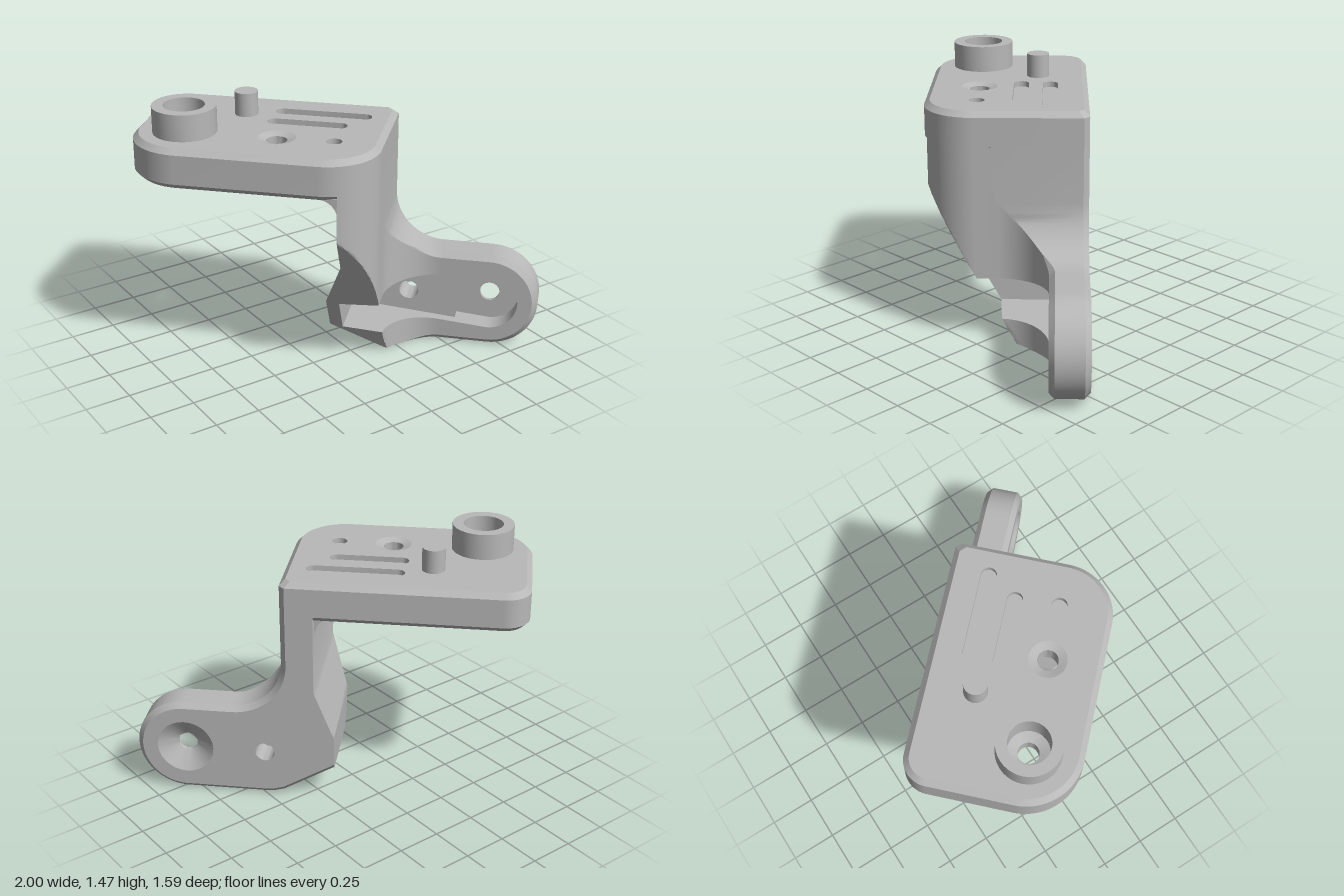
import * as THREE from 'three';
import { toCreasedNormals } from 'three/addons/utils/BufferGeometryUtils.js';

const metal = new THREE.MeshStandardMaterial({ color: 0xb8b8b8, side: THREE.DoubleSide });
metal.name = 'plain grey';

const E = 1e-4, CH = 0.03;                 // step width, chamfer
const BACK = -0.255, ARM = -0.045;         // back and front of the arm
const WALL = 0.36, SIDE = 0.63, CR = 0.28; // upright front, plate side, corner and cove radius
const CEIL = 1.2;                          // hollow under the plate
const CY = 0.275, R = 0.275, CU = 0.915;   // rounded arm end
const PR = 0.165, PL = 0.14, STEP = 0.73;  // pocket end radius, left end, floor step
const lerp = THREE.MathUtils.lerp;
const span = (a, b, n) => Array.from({ length: n + 1 }, (_, i) => lerp(a, b, i / n));

// Skin over a list of equal-length point rows
function loft(rows, closed, skip = () => false) {
  const n = rows[0].length, index = [];
  for (let i = 0; i < rows.length - 1; i++) {
    for (let j = 0; j < (closed ? n : n - 1); j++) {
      if (skip(i, j)) continue;
      const k = (j + 1) % n, a = i * n + j, b = i * n + k, c = a + n, d = b + n;
      index.push(a, c, b, b, c, d);
    }
  }
  const geo = new THREE.BufferGeometry();
  geo.setAttribute('position', new THREE.Float32BufferAttribute(rows.flat(2), 3));
  geo.setIndex(index);
  return toCreasedNormals(geo, 0.5);
}

function circle(x, y, r) {
  const p = new THREE.Shape();
  p.absarc(x, y, r, 0, Math.PI * 2, false);
  return p;
}

function slot(x0, x1, y, r) {
  const p = new THREE.Shape();
  p.absarc(x1, y, r, -Math.PI / 2, Math.PI / 2, false);
  p.absarc(x0, y, r, Math.PI / 2, Math.PI * 1.5, false);
  p.closePath();
  return p;
}

// Top plate outline: three rounded corners and one cut corner
function outline(inset) {
  const x0 = -0.96 + inset, x1 = WALL - inset, z0 = BACK + inset, z1 = SIDE - inset;
  const [a, c, d] = [0.14, CR, 0.3].map((r) => Math.max(r - inset, 0.005));
  const s = new THREE.Shape(), q = Math.PI / 2;
  s.absarc(x0 + a, z0 + a, a, 2 * q, 3 * q, false);
  s.lineTo(x1 - CH, z0);
  s.lineTo(x1, z0 + CH);
  s.absarc(x1 - c, z1 - c, c, 0, q, false);
  s.absarc(x0 + d, z1 - d, d, q, 2 * q, false);
  return s;
}
const ring = (shape, y) => shape.getPoints(14).map((p) => [p.x, y, p.y]);

// Side profile of the upright and arm
const COVE_U = WALL + CR, COVE_Y = 2 * CY + CR;
function topEdge(u) {
  if (u < 0.18) return 0.39 + (u - 0.07) * 2.55;
  if (u < WALL) return CEIL;
  if (u < COVE_U) return COVE_Y - Math.sqrt(Math.max(0, CR * CR - (COVE_U - u) ** 2));
  return CY + Math.sqrt(Math.max(0, R * R - Math.max(0, u - CU) ** 2));
}
function bottomEdge(u) {
  if (u < 0.36) return lerp(0.19, 0.02, (u - 0.07) / 0.29);
  if (u < 0.43) return lerp(0.02, 0, (u - 0.36) / 0.07);
  return CY - Math.sqrt(Math.max(0, R * R - Math.max(0, u - CU) ** 2));
}
// The same edges moved inwards by the chamfer
function insetEdge(u, y, top) {
  if (u > CU) return [CU + (u - CU) * (1 - CH / R), CY + (y - CY) * (1 - CH / R)];
  if (!top) return [u, y + CH];
  if (u < 0.18) return [u, y];
  if (u < WALL) return [Math.min(u, WALL - CH), y];
  const k = 1 + CH / CR;
  if (u < COVE_U) return [COVE_U + (u - COVE_U) * k, COVE_Y + (y - COVE_Y) * k];
  return [u, y - CH];
}
// Front surface: round corner, cut by a sloping underside, then a cove into the arm
function front(u, y) {
  const slope = SIDE - 0.56 * (0.9 - y);
  const k = Math.min(CR, Math.max(0, u - WALL + CR));
  const corner = SIDE - CR + Math.sqrt(CR * CR - k * k);
  const d = Math.min(CR, Math.max(0, COVE_U - u));
  const cove = u < WALL ? corner : ARM + CR - Math.sqrt(CR * CR - d * d);
  return Math.max(ARM, Math.min(corner, slope, cove));
}

const LOW = 8, HIGH = 60;
function crossSection(u) {
  const yb = bottomEdge(u), yt = topEdge(u), open = u > PL && u < CU + PR + E;
  const half = u < CU ? lerp(0.1, PR, (u - PL) / (CU - PL)) : Math.sqrt(Math.max(0, PR * PR - (u - CU) ** 2));
  const gap = u < 0.5 ? 0.004 : 0;
  const pb = Math.max(CY - half, yb + gap), pt = Math.min(CY + half, yt - gap);
  const end = CU + PR, pu = u > end ? end + (u - end) * 0.71 : u;
  const [ub, ybi] = insetEdge(u, yb, false), [ut, yti] = insetEdge(u, yt, true);
  // The front chamfer fades out in the cove
  const f = THREE.MathUtils.smoothstep(u, 0.45, COVE_U), c = f * CH;
  const fb = [lerp(u, ub, f), lerp(yb, ybi, f)], ft = [lerp(u, ut, f), lerp(yt, yti, f)];
  const floor = (y) => (open ? (u < STEP ? -0.1 : -0.17) : front(u, y));
  const pts = [[ub, ybi, BACK], [u, yb, BACK + CH], [u, yb, front(u, yb) - c]];
  for (const t of span(0, 1, LOW)) {
    const y = lerp(fb[1], pb, t);
    pts.push([lerp(fb[0], pu, t), y, front(u, y)]);
  }
  pts.push([pu, pb, floor(pb)], [pu, pt, floor(pt)]);
  for (const t of span(0, 1, HIGH)) {
    const y = lerp(pt, ft[1], t);
    pts.push([lerp(pu, ft[0], t), y, front(u, y)]);
  }
  pts.push([u, yt, front(u, yt) - c], [u, yt, BACK + CH], [ut, yti, BACK]);
  return pts;
}

export function createModel() {
  const model = new THREE.Group();
  model.name = 'bracket';
  const body = new THREE.Group();
  body.name = 'bracketBody';
  body.rotation.y = -Math.PI / 4;
  model.add(body);
  const add = (name, geo) => {
    const m = new THREE.Mesh(geo, metal);
    m.name = name;
    body.add(m);
    return m;
  };
  const flat = (name, shape, y, holes = []) => {
    shape.holes = holes;
    add(name, new THREE.ShapeGeometry(shape, 14).rotateX(-Math.PI / 2).scale(1, 1, -1).translate(0, y, 0));
  };
  const lathe = (pts) => toCreasedNormals(new THREE.LatheGeometry(pts.map((p) => new THREE.Vector2(...p)), 40), 0.5);

  // Top plate, hollow underneath
  const rims = [[CEIL, 0.12], [1.185, 0.085], [1.15, 0.07], [1.1, 0.07], [1.1, 0.03], [1.13, 0], [1.29, 0], [1.32, 0.03]];
  add('plateRim', loft(rims.map(([y, i]) => ring(outline(i), y)), true));
  const boss = [-0.683, 0.35], hole = [-0.19, 0.347];
  const grooves = [slot(-0.255, 0.095, 0.115, 0.042), slot(-0.247, 0.2, -0.046, 0.042), circle(0.113, 0.346, 0.042)];
  flat('plateTop', outline(CH), 1.32, [...grooves, circle(...boss, 0.11), circle(...hole, 0.1)]);
  flat('plateUnderside', outline(0.12), CEIL, [circle(...boss, 0.055), circle(...hole, 0.055)]);
  for (const g of grooves) {
    add('grooveWall', loft([ring(g, 1.32), ring(g, 1.29)], true));
    flat('grooveFloor', g, 1.29);
  }
  add('raisedSocket', lathe([[0.17, 1.31], [0.17, 1.465], [0.11, 1.465], [0.11, 1.3], [0.055, 1.28], [0.055, CEIL]]))
    .position.set(boss[0], 0, boss[1]);
  add('plateHole', lathe([[0.1, 1.32], [0.055, 1.305], [0.055, CEIL]])).position.set(hole[0], 0, hole[1]);
  add('locatingPin', new THREE.CylinderGeometry(0.063, 0.063, 0.15, 32)).position.set(-0.435, 1.375, 0.025);

  // Upright and arm, skinned over cross-sections
  const q = Math.PI / 2, cut = Math.asin(PR / R);
  const us = [
    ...span(0.07, PL - E, 6), ...span(PL + E, 0.18 - E, 4),
    ...span(0, q, 28).map((a) => lerp(0.18 + E, WALL - E, Math.sin(a))),
    ...span(0, q, 16).map((a) => lerp(COVE_U, WALL + E, Math.cos(a))).sort((a, b) => a - b),
    ...span(0.65, STEP - E, 2), ...span(STEP + E, CU, 4),
    ...span(0.1, q, 12).map((a) => CU + PR * Math.sin(a)),
    ...span(cut + 0.01, q, 10).map((a) => CU + R * Math.sin(a)),
  ].sort((a, b) => a - b);
  const cols = us.map(crossSection);
  const endCap = cols[0].map(([u, y]) => [u, y, BACK]);
  const F = 3 + LOW + 1;
  add('uprightAndArm', loft([endCap, ...cols], false, (i, j) => j === F && i > 0 && us[i - 1] > PL && us[i - 1] < CU + PR - E));

  // Flat faces across the sections, pierced by the screw holes
  const face = (name, list, lo, hi, z, holes) => {
    const pts = [...list.map((c) => c[lo]), ...list.map((c) => c[hi]).reverse()];
    const shape = new THREE.Shape(pts.map((p) => new THREE.Vector2(p[0], p[1])));
    shape.holes = holes;
    add(name, new THREE.ShapeGeometry(shape, 14).translate(0, 0, z));
  };
  const between = (a, b) => cols.filter((_, i) => us[i] > a && us[i] < b);
  face('backFace', cols, 0, cols[0].length - 1, BACK, [circle(0.46, CY, 0.055), circle(CU, CY, 0.16)]);
  face('pocketFloor', between(PL, STEP), F, F + 1, -0.1, [circle(0.46, CY, 0.055)]);
  face('pocketEndFloor', between(STEP, CU + PR + E), F, F + 1, -0.17, [circle(CU, CY, 0.055)]);
  add('smallScrewHole', lathe([[0.055, BACK], [0.055, -0.1]]).rotateX(q)).position.set(0.46, CY, 0);
  add('countersunkHole', lathe([[0.16, BACK], [0.055, -0.19], [0.055, -0.17]]).rotateX(q)).position.set(CU, CY, 0);

  // Cove between upright and plate
  const cove = new THREE.Shape();
  cove.moveTo(0.19, 1.0);
  cove.lineTo(0.18, 1.0);
  cove.absarc(0.08, 1.0, 0.1, 0, q, false);
  cove.lineTo(0.08, 1.11);
  cove.lineTo(0.19, 1.11);
  add('innerCove', toCreasedNormals(
    new THREE.ExtrudeGeometry(cove, { depth: 0.8, bevelEnabled: false, curveSegments: 10 }), 0.5)).position.z = -0.2;

  return model;
}
